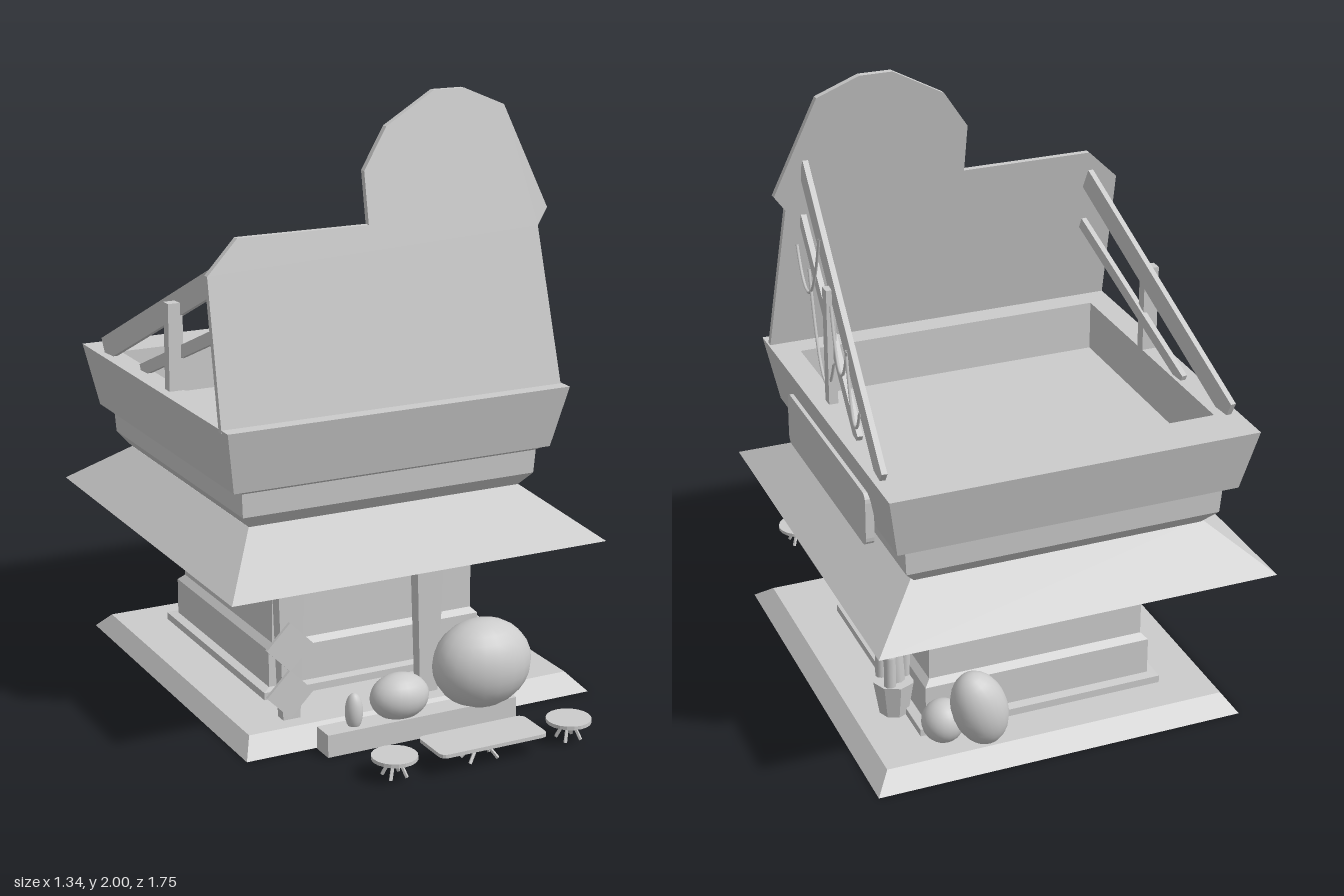
import * as THREE from 'three';

export function createModel() {
  const root = new THREE.Group();
  const mat = new THREE.MeshStandardMaterial({ color: 0xcccccc, side: THREE.DoubleSide });
  const flat = mat.clone();
  flat.flatShading = true;

  function add(name, geo, x = 0, y = 0, z = 0, material = flat) {
    const m = new THREE.Mesh(geo, material);
    m.name = name;
    m.position.set(x, y, z);
    root.add(m);
    return m;
  }
  const box = (name, w, h, d, x, y, z) => add(name, new THREE.BoxGeometry(w, h, d), x, y, z);

  // Stacked rectangles: each level is [y, x0, x1, z0, z1]
  function loft(name, levels, capTop = true, capBottom = true) {
    const pos = [], idx = [];
    for (const [y, x0, x1, z0, z1] of levels)
      pos.push(x0, y, z1, x1, y, z1, x1, y, z0, x0, y, z0);
    for (let l = 0; l < levels.length - 1; l++)
      for (let i = 0; i < 4; i++) {
        const a = l * 4 + i, b = l * 4 + (i + 1) % 4;
        idx.push(a, b, b + 4, a, b + 4, a + 4);
      }
    const t = (levels.length - 1) * 4;
    if (capTop) idx.push(t, t + 1, t + 2, t, t + 2, t + 3);
    if (capBottom) idx.push(0, 2, 1, 0, 3, 2);
    let g = new THREE.BufferGeometry();
    g.setAttribute('position', new THREE.Float32BufferAttribute(pos, 3));
    g.setIndex(idx);
    g = g.toNonIndexed();
    g.computeVertexNormals();
    return add(name, g);
  }

  function roundedPlate(w, h, d, r) {
    const s = new THREE.Shape(), a = w / 2, b = h / 2;
    s.moveTo(-a + r, -b).lineTo(a - r, -b).quadraticCurveTo(a, -b, a, -b + r);
    s.lineTo(a, b - r).quadraticCurveTo(a, b, a - r, b);
    s.lineTo(-a + r, b).quadraticCurveTo(-a, b, -a, b - r);
    s.lineTo(-a, -b + r).quadraticCurveTo(-a, -b, -a + r, -b);
    return new THREE.ExtrudeGeometry(s, { depth: d, bevelEnabled: false, curveSegments: 4 }).translate(0, 0, -d / 2);
  }

  // Plinth with an open underside, and the hollow building core
  loft('plinth', [[0, -0.40, 0.44, -0.62, 0.20], [0, -0.60, 0.65, -0.81, 0.50],
    [0.055, -0.56, 0.60, -0.75, 0.43], [0.055, -0.40, 0.44, -0.62, 0.20]], false, false);
  loft('buildingCore', [[0.055, -0.40, 0.44, -0.62, 0.20], [0.08, -0.40, 0.44, -0.62, 0.20],
    [0.085, -0.37, 0.41, -0.59, 0.17], [0.21, -0.37, 0.41, -0.59, 0.17],
    [0.23, -0.35, 0.39, -0.57, 0.155], [0.40, -0.35, 0.39, -0.57, 0.155],
    [0.42, -0.36, 0.40, -0.59, 0.17], [0.56, -0.36, 0.40, -0.59, 0.17]], true, false);
  loft('sideButtress', [[0.085, 0.35, 0.42, -0.31, -0.10], [0.55, 0.35, 0.415, -0.35, -0.07]]);

  // Porch posts
  loft('porchPost', [[0.05, -0.415, -0.355, 0.335, 0.375], [0.56, -0.435, -0.34, 0.335, 0.385]]);
  loft('porchPost', [[0.05, 0.08, 0.145, 0.335, 0.375], [0.56, 0.06, 0.16, 0.335, 0.385]]);

  // Awning, cornice and roof tray
  loft('awning', [[0.547, -0.67, 0.665, -0.88, 0.56], [0.69, -0.49, 0.49, -0.69, 0.29]]);
  loft('cornice', [[0.685, -0.485, 0.485, -0.70, 0.285], [0.735, -0.525, 0.525, -0.745, 0.325],
    [0.815, -0.53, 0.53, -0.75, 0.33], [0.835, -0.56, 0.56, -0.78, 0.355]]);
  loft('roofTray', [[0.83, -0.57, 0.565, -0.78, 0.36], [1.04, -0.61, 0.605, -0.83, 0.41],
    [1.04, -0.53, 0.52, -0.67, 0.26], [0.87, -0.53, 0.52, -0.67, 0.26]]);

  // Leaning billboard
  const outline = [[-0.61, 1.03], [-0.61, 1.5], [-0.5, 1.605], [-0.05, 1.605], [-0.05, 1.77], [0.04, 1.9],
    [0.22, 2], [0.33, 2], [0.47, 1.94], [0.6, 1.605], [0.56, 1.55], [0.6, 1.03]];
  const board = new THREE.ExtrudeGeometry(new THREE.Shape(outline.map(p => new THREE.Vector2(...p))),
    { depth: 0.022, bevelEnabled: false });
  const p = board.attributes.position;
  for (let i = 0; i < p.count; i++) p.setZ(i, p.getZ(i) + 0.34 - (p.getY(i) - 1.04) * 0.195);
  board.computeVertexNormals();
  add('billboard', board);

  // Braces behind the billboard, splaying outward to the rear
  const sideX = z => 0.5 + 0.08 * (0.25 - z);
  function brace(side, z0, y0, z1, y1, h) {
    const a = new THREE.Vector3(side * sideX(z0), y0, z0), b = new THREE.Vector3(side * sideX(z1), y1, z1);
    const m = box('billboardBrace', 0.018, h, a.distanceTo(b), 0, 0, 0);
    m.position.copy(a).lerp(b, 0.5);
    m.lookAt(b);
  }
  brace(1, 0.21, 1.70, -0.69, 1.04, 0.08);
  brace(1, 0.25, 1.51, -0.42, 1.04, 0.05);
  brace(-1, 0.24, 1.51, -0.69, 1.05, 0.08);
  brace(-1, 0.27, 1.34, -0.41, 1.04, 0.04);
  box('bracePost', 0.03, 0.4, 0.038, 0.545, 1.23, -0.135);
  box('bracePost', 0.05, 0.3, 0.038, -0.555, 1.18, -0.135);

  // Hanging cables: [z0, y0, z1, y1, lowest control y]
  for (const [z0, y0, z1, y1, sag] of [[0.26, 1.42, -0.05, 1.56, 1.14], [0.1, 1.4, -0.2, 1.2, 0.89],
    [-0.18, 1.39, -0.37, 1.32, 1.06], [-0.36, 1.32, -0.51, 1.18, 0.98]]) {
    const v = (z, y) => new THREE.Vector3(sideX(z) + 0.02, y, z);
    const c = new THREE.QuadraticBezierCurve3(v(z0, y0), v((z0 + z1) / 2, sag), v(z1, y1));
    add('cable', new THREE.TubeGeometry(c, 16, 0.005, 5), 0, 0, 0, mat);
  }

  // Side sign panel and diamond signs
  add('sideSign', roundedPlate(0.76, 0.18, 0.028, 0.03), 0.587, 0.86, -0.22).rotation.y = Math.PI / 2;
  for (const y of [0.15, 0.31])
    box('diamondSign', 0.115, 0.115, 0.012, -0.4, y, 0.392).rotation.z = Math.PI / 4;

  // Front planter bed and round plants
  box('planterBed', 0.68, 0.075, 0.08, -0.02, 0.0375, 0.545);
  function egg(name, x, y, z, rx, ry, rz, tilt = 0) {
    const m = add(name, new THREE.SphereGeometry(1, 20, 14), x, y, z, mat);
    m.scale.set(rx, ry, rz);
    m.rotation.z = tilt;
  }
  egg('roundPlant', 0.215, 0.2, 0.54, 0.17, 0.148, 0.127);
  egg('roundPlant', -0.08, 0.135, 0.53, 0.1, 0.076, 0.075);
  egg('roundPlant', -0.25, 0.12, 0.545, 0.029, 0.062, 0.029);
  egg('rearPlant', 0.28, 0.19, -0.725, 0.09, 0.135, 0.082, -0.3);
  egg('rearPlant', 0.38, 0.13, -0.665, 0.07, 0.072, 0.07);

  // Potted cactus
  add('cactusPot', new THREE.CylinderGeometry(0.07, 0.05, 0.12, 8), 0.465, 0.115, -0.445);
  for (const [dx, y, dz, h] of [[0, 0.24, 0, 0.22], [-0.042, 0.21, 0.015, 0.14], [0.025, 0.22, -0.035, 0.16], [0.03, 0.2, 0.035, 0.14]])
    add('cactusStem', new THREE.CapsuleGeometry(dx ? 0.02 : 0.034, h - (dx ? 0.04 : 0.068), 5, 10),
      0.465 + dx, y, -0.445 + dz, mat).rotation.z = dx ? 0 : -0.06;

  // Table and stools with splayed legs
  function legs(x, spread) {
    for (let i = 0; i < 4; i++) {
      const a = Math.PI / 4 + i * Math.PI / 2, c = Math.cos(a), s = Math.sin(a);
      const curve = new THREE.LineCurve3(new THREE.Vector3(c * 0.01, 0.065, s * 0.01),
        new THREE.Vector3(c * spread, 0.004, s * 0.04));
      add('leg', new THREE.TubeGeometry(curve, 1, 0.006, 5), x, 0, 0.8);
    }
  }
  add('tableTop', roundedPlate(0.38, 0.16, 0.012, 0.025), 0.075, 0.068, 0.795).rotation.x = Math.PI / 2;
  legs(0.06, 0.07);
  for (const x of [-0.24, 0.385]) {
    add('stoolSeat', new THREE.CylinderGeometry(0.073, 0.073, 0.012, 20), x, 0.068, 0.8);
    legs(x, 0.04);
  }
  return root;
}
